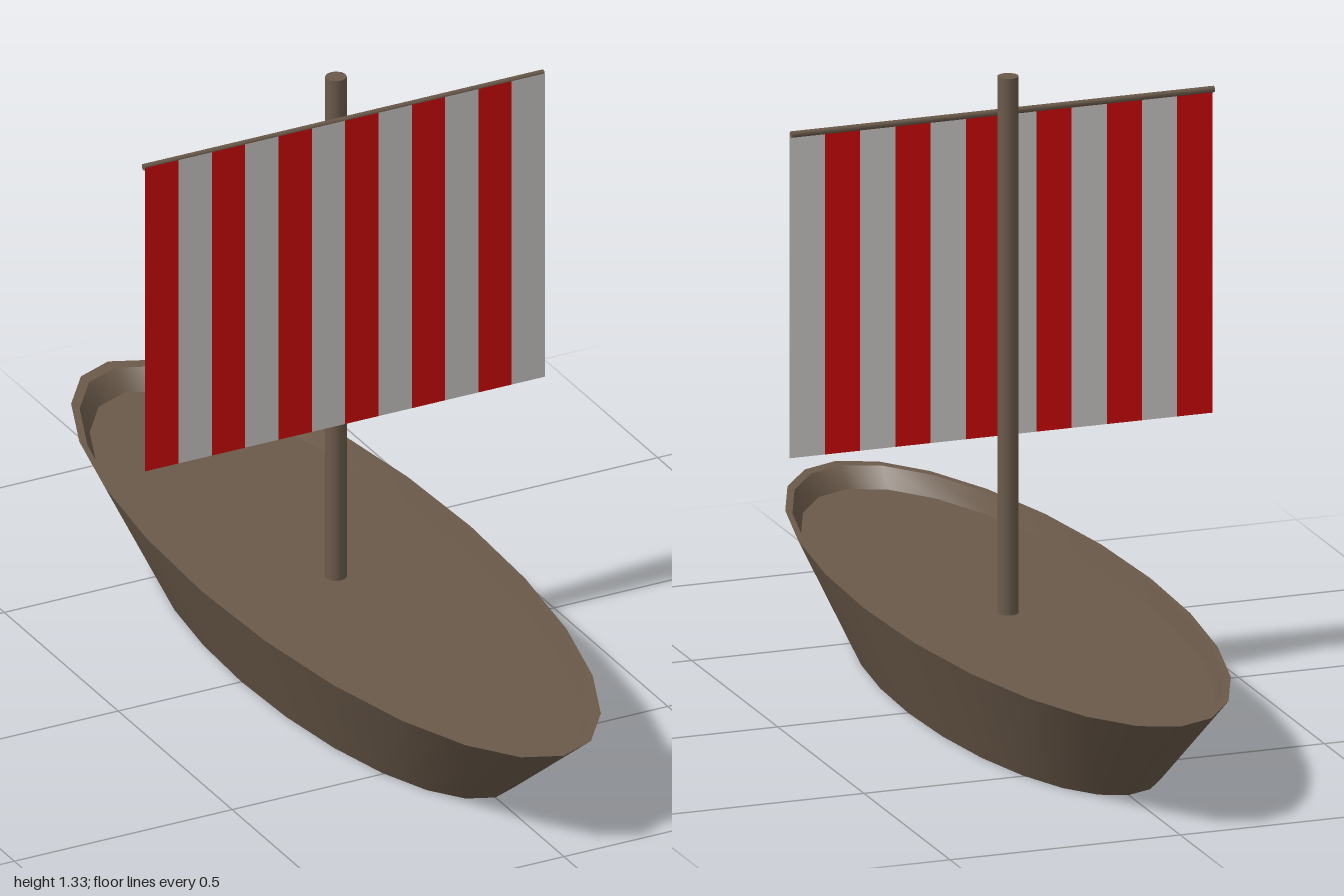
import * as THREE from 'three';
import { toCreasedNormals } from 'three/addons/utils/BufferGeometryUtils.js';

export function createModel() {
  const boat = new THREE.Group();
  boat.name = 'sailboat';

  const material = (name, color, side = THREE.FrontSide) => {
    const m = new THREE.MeshStandardMaterial({ color, side });
    m.name = name;
    return m;
  };
  const wood = material('brown wood', 0x6b5a4a);
  const red = material('red cloth', 0xd00a0a, THREE.DoubleSide);
  const white = material('white cloth', 0xcccac8, THREE.DoubleSide);

  const add = (parent, name, geometry, mat, x = 0, y = 0, z = 0) => {
    const mesh = new THREE.Mesh(geometry, mat);
    mesh.name = name;
    mesh.position.set(x, y, z);
    parent.add(mesh);
    return mesh;
  };

  // Hull: flared tub with a rim and a sunken deck, squeezed into an ellipse
  const profile = [[0, 0], [0.7, 0], [1, 0.23], [0.968, 0.23], [0.93, 0.19], [0, 0.19]]
    .map(([r, y]) => new THREE.Vector2(r, y));
  const hull = toCreasedNormals(new THREE.LatheGeometry(profile, 24), 0.5);
  hull.scale(0.31, 1, 1);
  add(boat, 'hull', hull, wood);

  // Mast and the yard across its front
  const deckY = 0.19, mastTop = 1.33;
  add(boat, 'mast', new THREE.CylinderGeometry(0.022, 0.022, mastTop - deckY, 12), wood,
    0, (mastTop + deckY) / 2, 0);
  add(boat, 'yard', new THREE.CylinderGeometry(0.007, 0.007, 0.918, 8), wood, 0, 1.245, 0.032)
    .rotation.z = Math.PI / 2;

  // Sail: twelve alternating cloth strips
  const sail = new THREE.Group();
  sail.name = 'sail';
  boat.add(sail);
  const strips = 12, width = 0.918 / strips, bottom = 0.555, top = 1.247;
  for (let i = 0; i < strips; i++) {
    add(sail, 'sailStripe', new THREE.PlaneGeometry(width, top - bottom), i % 2 ? white : red,
      (i + 0.5 - strips / 2) * width, (top + bottom) / 2, 0.04);
  }
  return boat;
}
